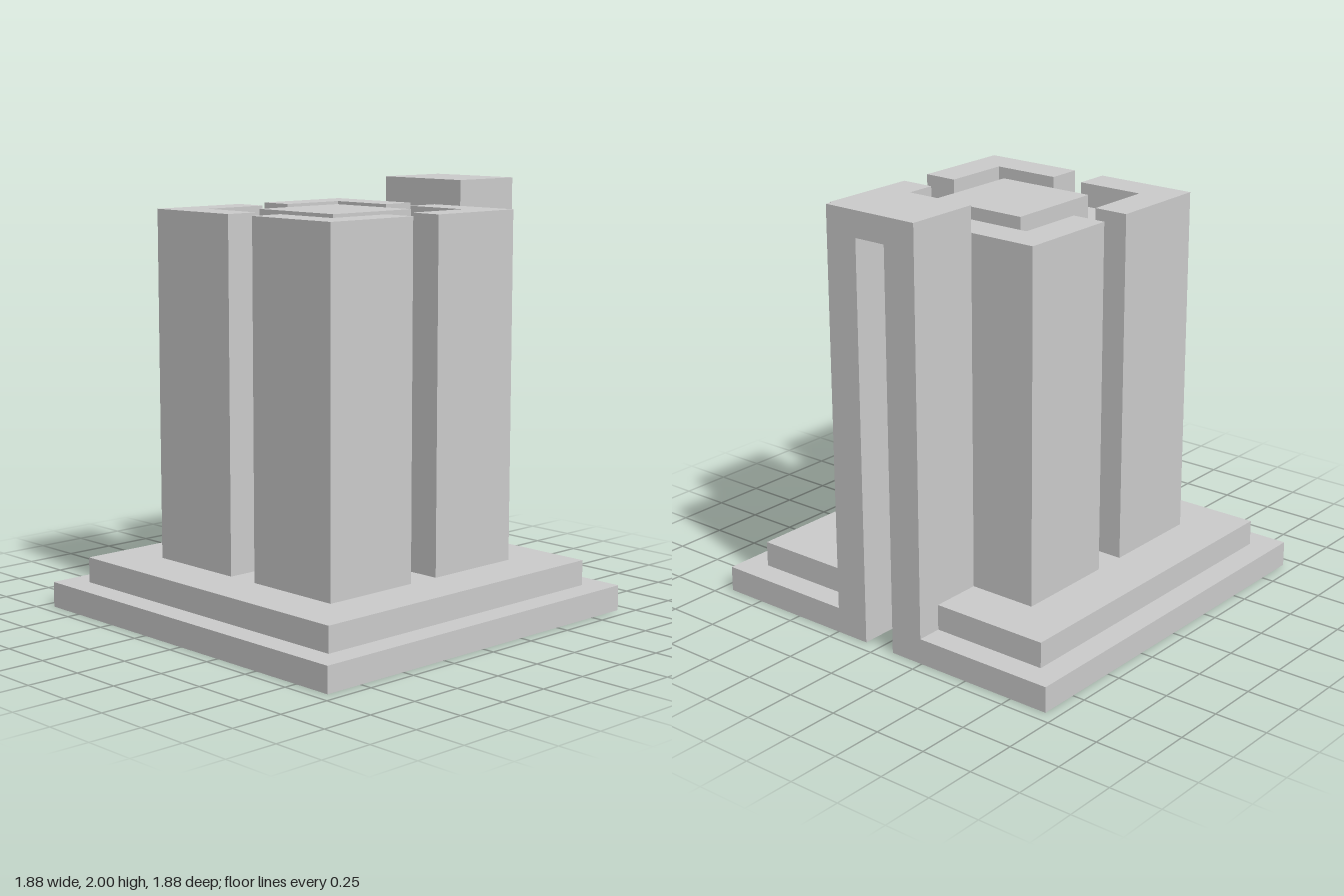
import * as THREE from 'three';

const material = new THREE.MeshStandardMaterial({ color: 0xcccccc, flatShading: true, side: THREE.DoubleSide });

// Plan points are [x, p] with p = -z; counter-clockwise paths face outward.
const square = (r) => [[r, -r], [r, r], [-r, r], [-r, -r]];
const vectors = (pts) => pts.map(([x, p]) => new THREE.Vector2(x, p));

function add(parent, name, geometry) {
  const mesh = new THREE.Mesh(geometry, material);
  mesh.name = name;
  parent.add(mesh);
  return mesh;
}

// Vertical walls standing on a plan path
function wall(parent, name, path, y0, y1, closed = false) {
  const pos = [];
  const count = closed ? path.length : path.length - 1;
  for (let i = 0; i < count; i++) {
    const [ax, ap] = path[i];
    const [bx, bp] = path[(i + 1) % path.length];
    pos.push(ax, y0, -ap, bx, y0, -bp, bx, y1, -bp);
    pos.push(ax, y0, -ap, bx, y1, -bp, ax, y1, -ap);
  }
  const geometry = new THREE.BufferGeometry();
  geometry.setAttribute('position', new THREE.Float32BufferAttribute(pos, 3));
  geometry.computeVertexNormals();
  return add(parent, name, geometry);
}

// Horizontal surface filling a plan outline
function plate(parent, name, outline, y, hole) {
  const shape = new THREE.Shape(vectors(outline));
  if (hole) shape.holes.push(new THREE.Path(vectors(hole)));
  const geometry = new THREE.ShapeGeometry(shape);
  geometry.rotateX(-Math.PI / 2);
  geometry.translate(0, y, 0);
  return add(parent, name, geometry);
}

export function createModel() {
  const model = new THREE.Group();
  model.name = 'steppedTower';
  const B = 0.94, S = 0.82, T = 0.575, C = 0.41, W = 0.245, G = 0.08, D = 0.66;
  const y1 = 0.12, y2 = 0.24, yCore = 1.77, yTop = 1.88, yShaft = 2;

  // Hollow stepped base, open underneath, interrupted by the side shaft
  const base = new THREE.Group();
  base.name = 'base';
  model.add(base);
  const around = (r, half) => [[r, half], [r, r], [-r, r], [-r, -r], [r, -r], [r, -half]];
  wall(base, 'lowerStepWall', around(B, G), 0, y1);
  plate(base, 'lowerStepTop', [...around(B, W), ...around(S, W).reverse()], y1);
  wall(base, 'upperStepWall', around(S, W), y1, y2);

  // Corner plan, turned four times to give the notched outline
  const corner = [[C, G], [T, G], [T, T], [G, T], [G, C]];
  const turn = ([x, p], k) => [[x, p], [-p, x], [-x, -p], [p, -x]][k];
  const outline = [0, 1, 2, 3].flatMap((k) => corner.map((c) => turn(c, k)));
  const opening = [[T, W], ...outline.slice(2, 18), [T, -W]];
  plate(base, 'upperStepTop', [...around(S, W), ...opening.reverse()], y2);
  plate(base, 'notchFloor', [[C, -G], [T, -G], [T, G], [C, G]], y2);

  // Four L-shaped corner towers with recessed faces between them
  for (let k = 0; k < 4; k++) {
    const tower = new THREE.Group();
    tower.name = 'cornerTower' + (k + 1);
    tower.rotation.y = k * Math.PI / 2;
    wall(tower, 'outerWall', corner, y2, yTop);
    wall(tower, 'innerWall', [[G, C], [C, C], [C, G]], yCore, yTop);
    wall(tower, 'recessWall', [[G, C], [-G, C]], y2, yCore);
    plate(tower, 'towerTop', [...corner, [C, C]], yTop);
    model.add(tower);
  }

  // Core roof and raised square cap
  const roof = new THREE.Group();
  roof.name = 'roof';
  model.add(roof);
  plate(roof, 'coreRoof', square(C), yCore, square(W));
  wall(roof, 'capWall', square(W), yCore, yTop, true);
  plate(roof, 'capTop', square(W), yTop);

  // Side shaft with a tall slot reaching the ground
  const shaft = new THREE.Group();
  shaft.name = 'sideShaft';
  model.add(shaft);
  for (const s of [-1, 1]) {
    const path = (pts) => (s > 0 ? pts : pts.reverse()).map(([x, p]) => [x, s * p]);
    wall(shaft, 'pierFront', path([[B, G], [B, W]]), y1, yTop);
    wall(shaft, 'pierSideOuter', path([[B, W], [S, W]]), y1, yTop);
    wall(shaft, 'pierSideInner', path([[S, W], [T, W]]), y2, yTop);
  }
  const crown = [[T, -W], [B, -W], [B, W], [T, W]];
  wall(shaft, 'shaftCrown', crown, yTop, yShaft, true);
  plate(shaft, 'shaftTop', crown, yShaft);
  wall(shaft, 'shaftBack', [[T, G], [T, -G]], y2, yTop);
  wall(shaft, 'slotWalls', [[B, -G], [D, -G], [D, G], [B, G]], 0, yTop);
  plate(shaft, 'slotCeiling', [[D, -G], [B, -G], [B, G], [D, G]], yTop);

  return model;
}
